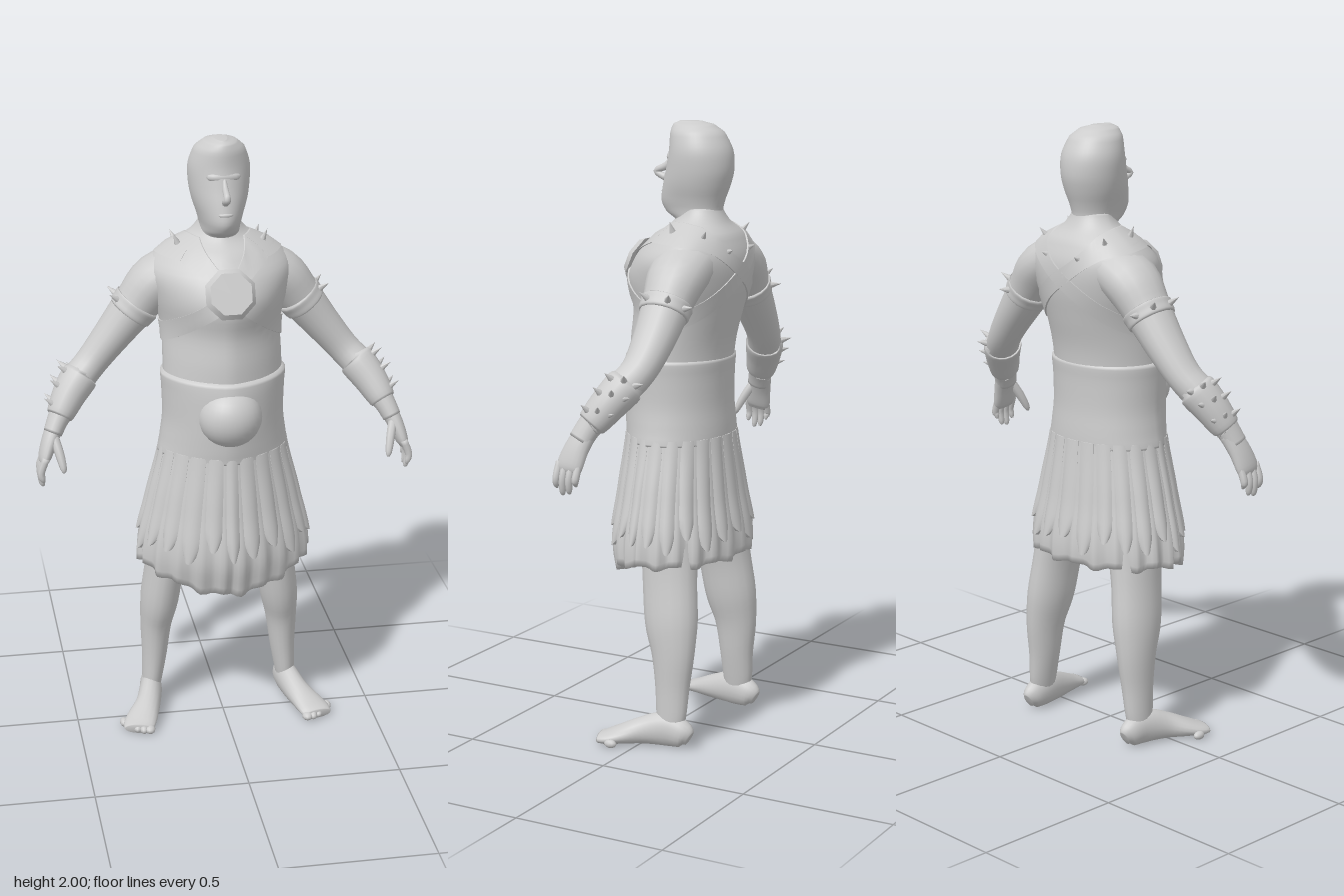
import * as THREE from 'three';

const V = (x, y, z) => new THREE.Vector3(x, y, z);
const grey = new THREE.MeshStandardMaterial({ color: 0xcccccc });
grey.name = 'clay grey';

// smooth interpolation through rows of numbers, t in row units
function sample(rows, t) {
  const n = rows.length - 1;
  const k = Math.min(Math.max(Math.floor(t), 0), n - 1), f = t - k;
  const at = i => rows[Math.min(Math.max(i, 0), n)];
  return rows[0].map((_, c) => {
    const [a, b, d, e] = [at(k - 1)[c], at(k)[c], at(k + 1)[c], at(k + 2)[c]];
    return b + 0.5 * f * (d - a + f * (2 * a - 5 * b + 4 * d - e + f * (3 * (b - d) + e - a)));
  });
}

// closed skin over rings of points, with both ends capped
function skin(rings) {
  const m = rings[0].length, pos = [], idx = [];
  rings.forEach(r => r.forEach(p => pos.push(p.x, p.y, p.z)));
  for (let i = 0; i < rings.length - 1; i++) for (let j = 0; j < m; j++) {
    const a = i * m + j, b = i * m + (j + 1) % m;
    idx.push(a, b, b + m, a, b + m, a + m);
  }
  [rings[0], rings[rings.length - 1]].forEach((r, end) => {
    const c = r.reduce((s, p) => s.add(p), V(0, 0, 0)).divideScalar(m);
    const ci = pos.length / 3, o = end ? (rings.length - 1) * m : 0;
    pos.push(c.x, c.y, c.z);
    for (let j = 0; j < m; j++) {
      const a = o + j, b = o + (j + 1) % m;
      if (end) idx.push(ci, a, b); else idx.push(ci, b, a);
    }
  });
  const g = new THREE.BufferGeometry();
  g.setAttribute('position', new THREE.Float32BufferAttribute(pos, 3));
  g.setIndex(idx);
  g.computeVertexNormals();
  return g;
}

// point on a body: rows are [y, half width, front z, back z, widest z], top to bottom
function surf(rows, y, a, off = 0, pf = 1, pb = 1) {
  let k = 0;
  while (k < rows.length - 2 && y < rows[k + 1][0]) k++;
  const f = Math.min(Math.max((y - rows[k][0]) / (rows[k + 1][0] - rows[k][0]), 0), 1);
  const [, rx, zf, zb, cz] = sample(rows, k + f);
  const c = Math.cos(a), s = Math.sin(a), p = s > 0 ? pf : pb;
  const x = (rx + off) * Math.sign(c) * Math.abs(c) ** p;
  const d = s > 0 ? zf - cz + off : cz - zb + off;
  return V(x, y, cz + d * Math.sign(s) * Math.abs(s) ** p);
}
const angles = n => Array.from({ length: n }, (_, j) => j / n * Math.PI * 2);

function body(rows, steps, pf, pb) {
  const rings = [];
  for (let i = 0; i <= steps; i++) {
    const y = sample(rows, i / steps * (rows.length - 1))[0];
    rings.push(angles(40).map(a => surf(rows, y, a, 0, pf, pb)));
  }
  return skin(rings);
}

// limb: rows are [x, y, z, radius across, radius along ref], s mirrors in x
function limb(rows, s = 1, ref = V(0, 0, 1), seg = 18, per = 4) {
  const n = (rows.length - 1) * per, rings = [];
  const at = t => sample(rows, t);
  for (let i = 0; i <= n; i++) {
    const t = i / per, q = at(t), e0 = at(Math.max(t - 0.1, 0)), e1 = at(Math.min(t + 0.1, rows.length - 1));
    const T = V(s * (e1[0] - e0[0]), e1[1] - e0[1], e1[2] - e0[2]).normalize();
    const v = ref.clone().addScaledVector(T, -ref.dot(T)).normalize();
    const u = v.clone().cross(T);
    rings.push(angles(seg).map(a => V(s * q[0], q[1], q[2])
      .addScaledVector(u, q[3] * Math.cos(a)).addScaledVector(v, q[4] * Math.sin(a))));
  }
  return skin(rings);
}

// thin slab bent by a rule: map(along 0..1, across -0.5..0.5, thickness 0..1)
function slab(nu, nv, map) {
  const g = new THREE.BoxGeometry(1, 1, 1, nu, nv, 1), p = g.attributes.position;
  for (let i = 0; i < p.count; i++) {
    const q = map(0.5 - p.getX(i), p.getY(i), p.getZ(i) + 0.5);
    p.setXYZ(i, q.x, q.y, q.z);
  }
  g.computeVertexNormals();
  return g;
}

export function createModel() {
  const model = new THREE.Group();
  const add = (name, geo, pos) => {
    const m = new THREE.Mesh(geo, grey);
    m.name = name;
    if (pos) m.position.copy(pos);
    model.add(m);
    return m;
  };
  const spike = (pos, dir, h = 0.055, r = 0.016) => {
    const d = dir.normalize();
    add('spike', new THREE.ConeGeometry(r, h, 7), pos.addScaledVector(d, h / 2 - 0.012))
      .quaternion.setFromUnitVectors(V(0, 1, 0), d);
  };

  // head and face
  add('head', body([[2, 0.02, -0.0, -0.08, -0.05], [1.99, 0.052, 0.02, -0.115, -0.06], [1.965, 0.08, 0.028, -0.15, -0.07],
    [1.91, 0.098, 0.03, -0.178, -0.08], [1.85, 0.097, 0.042, -0.183, -0.08], [1.8, 0.088, 0.055, -0.172, -0.075],
    [1.745, 0.071, 0.064, -0.153, -0.07], [1.71, 0.065, 0.045, -0.147, -0.075], [1.685, 0.07, 0.005, -0.15, -0.08],
    [1.62, 0.1, 0, -0.17, -0.09]], 36, 1.05, 1));
  add('nose', limb([[0, 1.885, 0.024, 0.006, 0.008], [0, 1.855, 0.05, 0.01, 0.012], [0, 1.835, 0.088, 0.011, 0.01],
    [0, 1.815, 0.05, 0.012, 0.012]], 1, V(0, 0, 1), 10));
  add('brow', new THREE.SphereGeometry(1, 16, 8), V(0, 1.888, 0.013)).scale.set(0.055, 0.02, 0.021);
  add('mouth', new THREE.SphereGeometry(1, 16, 8), V(0, 1.775, 0.05)).scale.set(0.025, 0.009, 0.013);

  // torso
  const torso = [[1.73, 0.065, -0.01, -0.145, -0.08], [1.685, 0.1, 0.015, -0.165, -0.09], [1.645, 0.18, 0.07, -0.197, -0.095],
    [1.58, 0.235, 0.135, -0.222, -0.09], [1.5, 0.222, 0.175, -0.222, -0.075], [1.4, 0.195, 0.158, -0.2, -0.05],
    [1.3, 0.193, 0.165, -0.175, -0.02], [1.2, 0.195, 0.165, -0.165, 0], [1.0, 0.2, 0.16, -0.16, 0]];
  add('torso', body(torso, 36, 1.2, 1));

  // crossed harness, two mirrored loops over the shoulders
  const path = [[1.655, 0.75], [1.62, 1.15], [1.55, 1.57], [1.43, 2.4], [1.38, 3.14], [1.42, 3.9], [1.53, 4.71],
    [1.63, 5.4], [1.655, 6.28], [1.655, 7.03]];
  for (const s of [1, -1]) add('harnessStrap', slab(72, 2, (t, w, h) => {
    const [y, a] = sample(path, (s > 0 ? t : 1 - t) * (path.length - 1));
    const q = surf(torso, y + w * 0.06, a, -0.008 + h * 0.013, 1.2, 1);
    q.x *= s;
    return q;
  }));
  const boss = add('chestPlate', new THREE.CylinderGeometry(0.07, 0.085, 0.02, 8), V(0, 1.55, 0.153));
  boss.rotation.set(Math.PI / 2 - 0.4, Math.PI / 8, 0);

  // girdle and round buckle
  add('girdle', body([[1.255, 0.193, 0.165, -0.16, 0], [1.25, 0.203, 0.18, -0.17, 0], [1.2, 0.2, 0.187, -0.167, 0],
    [1.1, 0.198, 0.187, -0.166, 0], [1.02, 0.208, 0.18, -0.172, 0], [0.98, 0.215, 0.175, -0.173, 0]], 20, 1.2, 0.95));
  add('beltBoss', new THREE.SphereGeometry(1, 28, 18), V(0, 1.135, 0.135)).scale.set(0.103, 0.1, 0.096);

  // skirt with pleats, drooping at the front and tucked in underneath
  const skirt = [[1.03, 0.203, 0.17, -0.17, 0], [0.8, 0.25, 0.19, -0.192, 0], [0.64, 0.28, 0.205, -0.212, 0],
    [0.5, 0.272, 0.175, -0.195, 0]];
  const hem = a => 0.598 - 0.078 * Math.max(0, Math.sin(a)) ** 2 + 0.007 * Math.cos(11 * a);
  const rings = [];
  for (let i = 0; i <= 20; i++) {
    const v = i / 20;
    rings.push(angles(110).map(a => surf(skirt, 1.03 + (hem(a) - 1.03) * v, a, 0.01 * v * Math.cos(22 * a), 1.15, 0.95)));
  }
  for (const [k, lift] of [[0.88, 0.0], [0.72, 0.035], [0.4, 0.07]])
    rings.push(rings[20].map(p => V(p.x * k, p.y + lift, p.z * k)));
  add('skirt', skin(rings));

  // hanging strips around the skirt
  for (let i = 0; i < 22; i++) {
    const a0 = (i + 0.5) / 22 * Math.PI * 2, low = 0.665 + 0.025 * Math.sin(i * 2.4);
    add('skirtStrip', slab(6, 10, (t, w, h) => {
      const v = 0.5 - w, edge = 2 * t - 1;
      const taper = v > 0.88 ? 1 - 0.4 * (v - 0.88) / 0.12 : 1;
      const y = 1.0 - v * (1.0 - low) + 0.02 * edge * edge * v;
      const bulge = 0.002 + 0.014 * (1 - edge * edge) * (0.2 + 0.8 * v);
      return surf(skirt, y, a0 + edge * 0.12 * taper, bulge * h, 1.15, 0.95);
    }));
  }

  for (const s of [1, -1]) {
    const side = s > 0 ? 'left' : 'right';
    // arm and cuffs; the right forearm is held further back
    const back = s > 0 ? 0 : 0.042;
    const arm = [[0.08, 1.585, -0.095, 0.075, 0.1], [0.195, 1.53, -0.1, 0.083, 0.098], [0.265, 1.45, -0.1, 0.073, 0.08],
      [0.345, 1.35, -0.098, 0.06, 0.068], [0.415, 1.265, -0.085 - 0.1 * back, 0.052, 0.058],
      [0.475, 1.2, -0.045 - 0.4 * back, 0.052, 0.056], [0.53, 1.11, 0.015 - 0.85 * back, 0.036, 0.042],
      [0.555, 1.06, 0.04 - back, 0.03, 0.04]];
    add(side + 'Arm', limb(arm, s));
    const cuff = (name, t0, t1, extra) => add(name, limb([0, 0.05, 0.5, 0.95, 1].map((f, i) => {
      const q = sample(arm, t0 + (t1 - t0) * f), o = i % 4 ? extra : -0.004;
      return [q[0], q[1], q[2], q[3] + o, q[4] + o];
    }), s));
    cuff(side + 'ArmBand', 1.95, 2.3, 0.005);
    cuff(side + 'Bracer', 4.6, 6, 0.007);
    const armSpike = (t, a, h) => {
      const q = sample(arm, t), c = Math.cos(a), d = Math.sin(a);
      spike(V(s * (q[0] + 0.78 * q[3] * c), q[1] + 0.62 * q[3] * c, q[2] + q[4] * d), V(s * 0.78 * c, 0.62 * c, d), h);
    };
    for (const a of [0.4, -0.5, -1.3]) armSpike(2.15, a, 0.052);
    for (const t of [4.75, 5.25, 5.75]) for (const a of [0.25, -0.45, -1.15]) armSpike(t, a, 0.052);

    // hand
    add(side + 'Palm', limb([[0.535, 1.1, 0.02 - back, 0.03, 0.035], [0.565, 1.04, 0.045 - back, 0.026, 0.042],
      [0.585, 0.985, 0.06 - back, 0.02, 0.045], [0.588, 0.965, 0.064 - back, 0.01, 0.035]], s));
    for (let i = 0; i < 4; i++) {
      const z = 0.028 + i * 0.023 - back, tip = [0.925, 0.9, 0.895, 0.915][i];
      add(side + 'Finger', limb([[0.583, 0.995, z, 0.012, 0.012], [0.6, 0.95, z + 0.002, 0.012, 0.012],
        [0.597, tip + 0.012, z + 0.004, 0.01, 0.01], [0.592, tip, z + 0.004, 0.004, 0.004]], s, V(0, 0, 1), 8, 3));
    }
    add(side + 'Thumb', limb([[0.555, 1.06, 0.06 - back, 0.016, 0.016], [0.54, 1.01, 0.09 - back, 0.015, 0.015],
      [0.53, 0.965, 0.112 - back, 0.011, 0.011], [0.528, 0.95, 0.116 - back, 0.004, 0.004]], s, V(0, 0, 1), 8, 3));

    // shoulder spikes on the harness
    spike(V(s * 0.135, 1.655, -0.05), V(s * 0.4, 1, 0.1));
    spike(V(s * 0.13, 1.64, -0.15), V(s * 0.4, 0.8, -0.6));
    spike(V(s * 0.07, 1.6, -0.21), V(s * 0.2, 0.4, -1), 0.035);

    // leg and foot
    add(side + 'Leg', limb([[0.155, 0.72, -0.05, 0.085, 0.1], [0.185, 0.55, -0.065, 0.066, 0.095],
      [0.204, 0.41, -0.081, 0.064, 0.092], [0.216, 0.31, -0.094, 0.053, 0.075], [0.222, 0.2, -0.095, 0.043, 0.06],
      [0.231, 0.1, -0.095, 0.034, 0.052], [0.236, 0.05, -0.09, 0.028, 0.04]], s));
    add(side + 'Foot', limb([[0.232, 0.035, -0.163, 0.016, 0.025], [0.233, 0.047, -0.14, 0.033, 0.046],
      [0.238, 0.058, -0.08, 0.038, 0.057], [0.258, 0.045, 0, 0.042, 0.044], [0.285, 0.031, 0.06, 0.052, 0.03],
      [0.302, 0.022, 0.1, 0.054, 0.021], [0.308, 0.018, 0.125, 0.046, 0.016]], s, V(0, 1, 0)));
    for (let i = 0; i < 5; i++)
      add(side + 'Toe', new THREE.SphereGeometry(1, 10, 8), V(s * (0.27 + i * 0.02), 0.016, 0.128 - i * i * 0.004))
        .scale.set(i ? 0.014 : 0.018, 0.014, 0.022);
  }
  return model;
}
